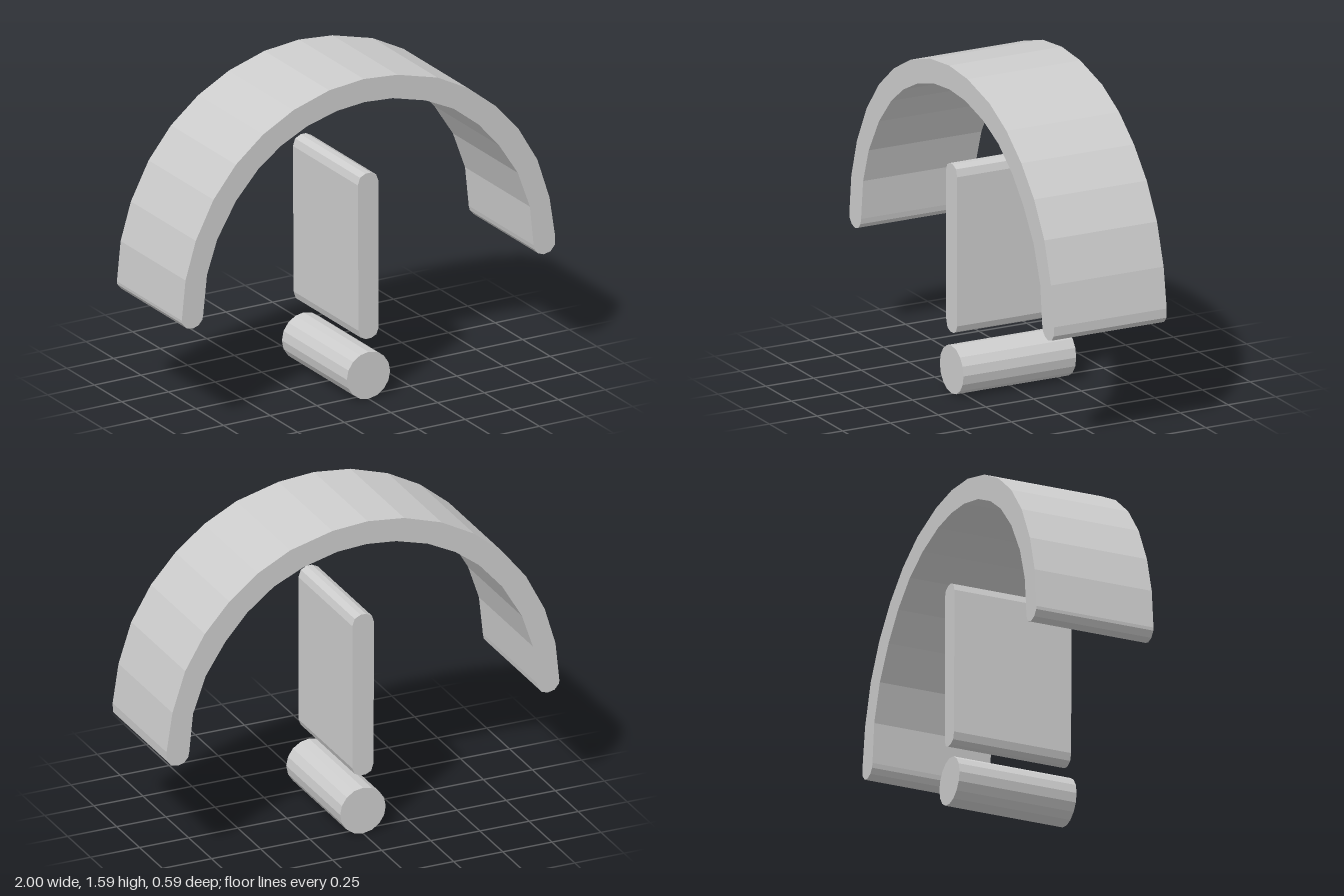
import * as THREE from 'three';

const DEPTH = 0.59;

export function createModel() {
  const model = new THREE.Group();
  const grey = new THREE.MeshStandardMaterial({ color: 0xcccccc, flatShading: true });
  grey.name = 'lightGrey';

  // Extrudes an outline along z, centred on z = 0
  function addPart(name, outline) {
    const shape = new THREE.Shape(outline.map(([x, y]) => new THREE.Vector2(x, y)));
    const geometry = new THREE.ExtrudeGeometry(shape, { depth: DEPTH, bevelEnabled: false });
    geometry.translate(0, 0, -DEPTH / 2);
    const mesh = new THREE.Mesh(geometry, grey);
    mesh.name = name;
    model.add(mesh);
  }

  // Arch: slightly irregular facets, outer and inner edges from left to right
  const outer = [
    [-1, 0.585], [-0.98, 0.78], [-0.925, 0.965], [-0.83, 1.15], [-0.71, 1.3], [-0.565, 1.42],
    [-0.4, 1.51], [-0.21, 1.57], [-0.025, 1.59], [0.155, 1.576], [0.37, 1.52], [0.535, 1.435],
    [0.68, 1.32], [0.805, 1.18], [0.905, 1.01], [0.97, 0.81], [1, 0.615],
  ];
  const inner = [
    [-0.885, 0.595], [-0.865, 0.785], [-0.81, 0.95], [-0.71, 1.12], [-0.59, 1.255], [-0.47, 1.345],
    [-0.33, 1.415], [-0.17, 1.46], [-0.02, 1.475], [0.13, 1.465], [0.305, 1.42], [0.455, 1.35],
    [0.59, 1.245], [0.7, 1.12], [0.8, 0.965], [0.865, 0.785], [0.885, 0.59],
  ];
  // Rounded foot of the arch, from the outer edge to the inner edge
  const foot = [[0.998, 0.57], [0.975, 0.543], [0.94, 0.535], [0.91, 0.545], [0.89, 0.568]];
  const leftFoot = foot.map(([x, y]) => [-x, y]).reverse();
  addPart('arch', [...outer, ...foot, ...inner.reverse(), ...leftFoot]);

  // Upright slab with rounded ends
  addPart('uprightSlab', [
    [-0.053, 0.35], [-0.042, 0.315], [-0.015, 0.302], [0.015, 0.302], [0.042, 0.315], [0.054, 0.345],
    [0.054, 1.07], [0.042, 1.105], [0.012, 1.12], [-0.015, 1.12], [-0.045, 1.105], [-0.057, 1.07],
  ]);

  // Horizontal rod below the slab
  const rod = new THREE.CylinderGeometry(0.116, 0.116, DEPTH, 16);
  rod.rotateX(Math.PI / 2);
  rod.translate(0, 0.12, 0);
  const rodMesh = new THREE.Mesh(rod, grey);
  rodMesh.name = 'rod';
  model.add(rodMesh);

  return model;
}
